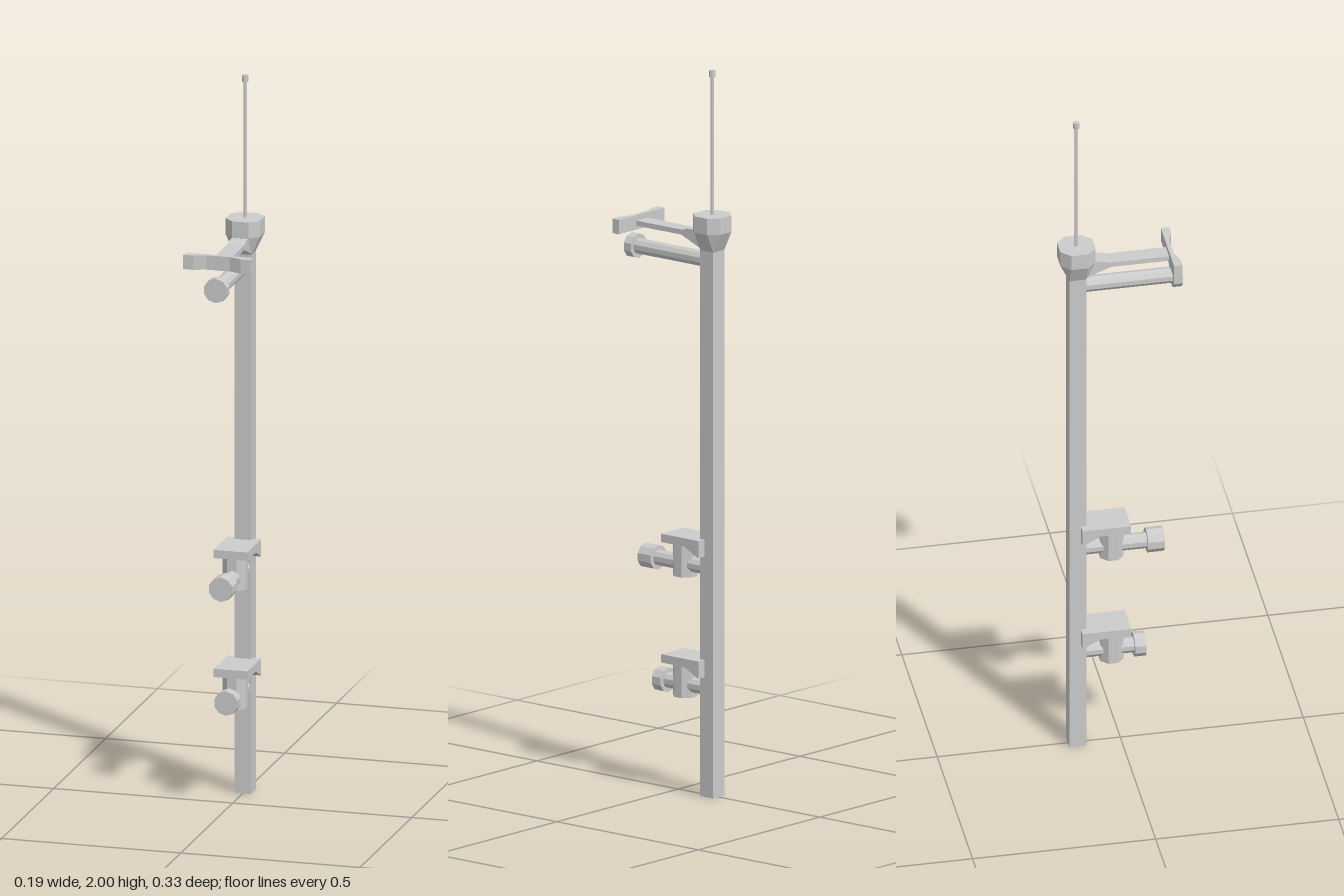
import * as THREE from 'three';

const mat = new THREE.MeshStandardMaterial({ color: 0xcccccc, flatShading: true, side: THREE.DoubleSide });
const POST_Z = -0.12, HALF = 0.023, CAP = 0.048;

export function createModel() {
  const root = new THREE.Group();

  const add = (name, geo, x = 0, y = 0, z = 0, parent = root) => {
    const mesh = new THREE.Mesh(geo, mat);
    mesh.name = name;
    mesh.position.set(x, y, z);
    parent.add(mesh);
    return mesh;
  };

  const extrude = (pts, depth) => {
    const shape = new THREE.Shape(pts.map(([a, b]) => new THREE.Vector2(a, b)));
    return new THREE.ExtrudeGeometry(shape, { depth, bevelEnabled: false }).translate(0, 0, -depth / 2);
  };
  // side profile given as [z, y], extruded across x
  const sideProfile = (pts, width) => extrude(pts, width).rotateY(-Math.PI / 2);
  // plan given as [x, z], extruded along y
  const plan = (pts, height) => extrude(pts, height).rotateX(Math.PI / 2);

  // round bar running along z from z0 to z1
  const barZ = (name, r, sides, y, z0, z1, parent) =>
    add(name, new THREE.CylinderGeometry(r, r, z1 - z0, sides).rotateX(Math.PI / 2), 0, y, (z0 + z1) / 2, parent);

  // chamfered square outline; inner = outer gives a plain square
  const outline = (outer, inner, y) => [
    [inner, outer], [outer, inner], [outer, -inner], [inner, -outer],
    [-inner, -outer], [-outer, -inner], [-outer, inner], [-inner, outer],
  ].map(([x, z]) => [x, y, z]);

  // square tube post, open at the foot
  add('post', new THREE.CylinderGeometry(HALF * Math.SQRT2, HALF * Math.SQRT2, 1.51, 4, 1, true)
    .rotateY(Math.PI / 4), 0, 0.755, POST_Z);

  // flare from the square post to the eight-sided cap
  const low = outline(HALF, HALF, 1.505), high = outline(CAP, HALF, 1.558);
  const verts = [];
  for (let i = 0; i < 8; i++) {
    const j = (i + 1) % 8;
    verts.push(...low[i], ...low[j], ...high[j], ...low[i], ...high[j], ...high[i]);
  }
  const flare = new THREE.BufferGeometry();
  flare.setAttribute('position', new THREE.Float32BufferAttribute(verts, 3));
  flare.computeVertexNormals();
  add('postFlare', flare, 0, 0, POST_Z);

  // cap
  add('cap', plan(outline(CAP, HALF, 0).map(([x, , z]) => [x, z]), 0.045), 0, 1.58, POST_Z);

  // thin mast with a small tip
  add('mast', new THREE.CylinderGeometry(0.005, 0.005, 0.39, 8), 0, 1.795, POST_Z);
  add('mastTip', new THREE.CylinderGeometry(0.009, 0.009, 0.018, 8), 0, 1.991, POST_Z);

  // upper arm with a gusset at the post
  add('arm', sideProfile([
    [-0.11, 1.557], [-0.05, 1.557], [-0.035, 1.551], [0.135, 1.551],
    [0.135, 1.537], [-0.03, 1.537], [-0.097, 1.51], [-0.11, 1.51],
  ], 0.046));

  // cross bar at the end of the arm
  add('crossBar', plan([
    [-0.094, 0.129], [0.094, 0.129], [0.094, 0.152], [0.066, 0.152],
    [0.033, 0.14], [-0.033, 0.14], [-0.066, 0.152], [-0.094, 0.152],
  ], 0.04), 0, 1.546, 0);

  // upper rod with an end knob
  barZ('upperRod', 0.022, 10, 1.476, -0.11, 0.145);
  barZ('upperKnob', 0.034, 10, 1.476, 0.14, 0.165);

  // two clamps: ledge, eight-sided block, rod and knob
  const clamps = [['upperClamp', 0.628, 0.07, 0.116], ['lowerClamp', 0.296, 0.035, 0.066]];
  for (const [name, y, knob0, knob1] of clamps) {
    const g = new THREE.Group();
    g.name = name;
    g.position.y = y;
    root.add(g);
    add('ledge', sideProfile([
      [-0.112, 0.081], [0.021, 0.081], [0.021, 0.058], [-0.062, 0.058], [-0.108, 0.034], [-0.112, 0.034],
    ], 0.094), 0, 0, 0, g);
    const r = 0.032 / Math.cos(Math.PI / 8);
    add('block', new THREE.CylinderGeometry(r, r, 0.096, 8).rotateY(Math.PI / 8), 0, 0.014, -0.025, g);
    barZ('rod', 0.022, 10, 0, -0.11, knob0 + 0.005, g);
    barZ('knob', 0.034, 10, 0, knob0, knob1, g);
  }

  return root;
}
